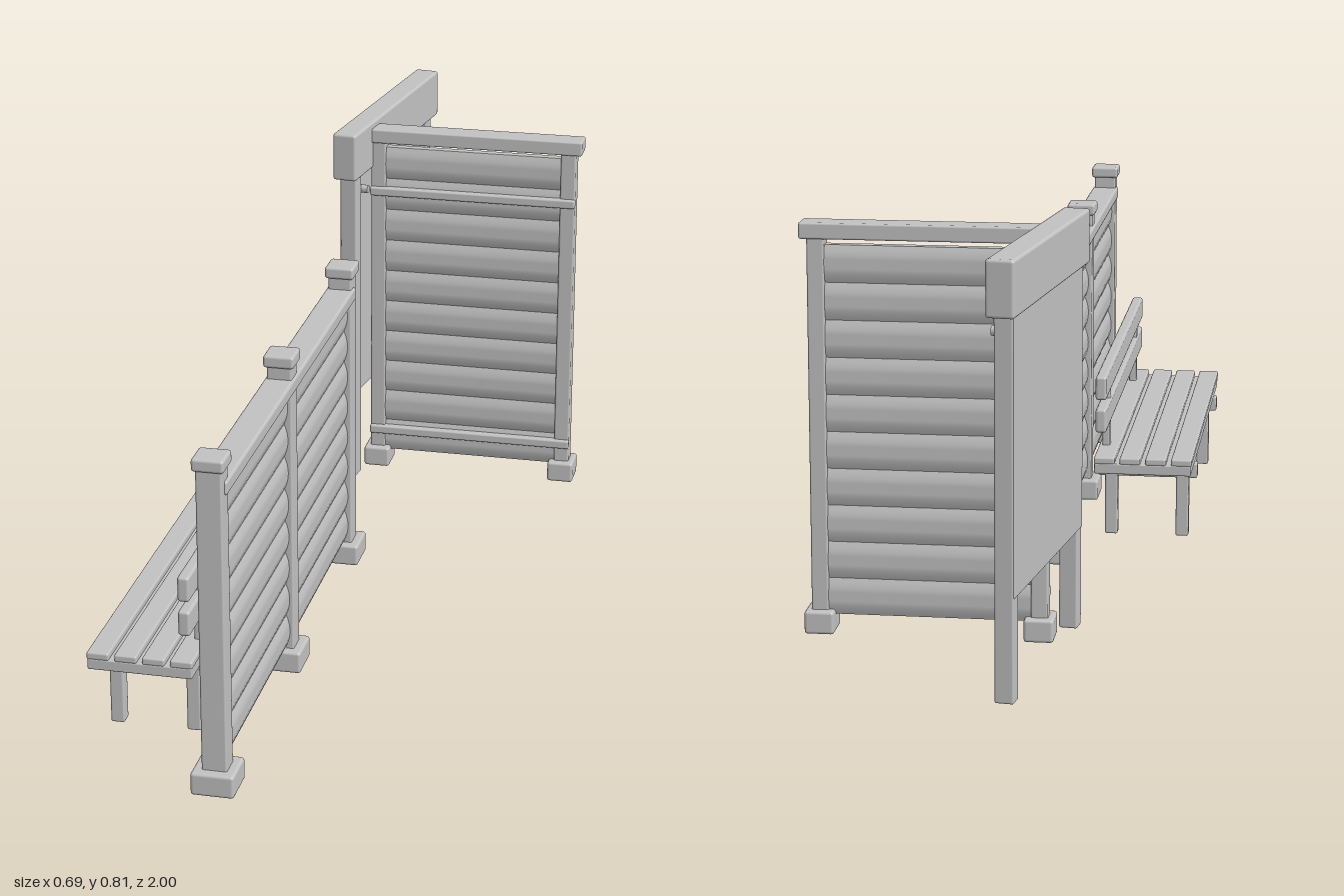
import * as THREE from 'three';
import { RoundedBoxGeometry } from 'three/addons/geometries/RoundedBoxGeometry.js';
import { toCreasedNormals } from 'three/addons/utils/BufferGeometryUtils.js';

const wood = new THREE.MeshStandardMaterial({ color: 0xc2c2c2 });
wood.name = 'greyWood';

// Softly rounded block given by its min/max extents
function block(parent, name, [x0, x1], [y0, y1], [z0, z1], round = 0.004) {
  const w = x1 - x0, h = y1 - y0, d = z1 - z0;
  const r = Math.min(round, Math.min(w, h, d) * 0.4);
  const mesh = new THREE.Mesh(new RoundedBoxGeometry(w, h, d, 2, r), wood);
  mesh.position.set((x0 + x1) / 2, (y0 + y1) / 2, (z0 + z1) / 2);
  mesh.name = name;
  parent.add(mesh);
  return mesh;
}

// Extents around a centre
const about = (c, size) => [c - size / 2, c + size / 2];

// Stack of boards with bulging faces, running along local z
function boards(parent, count, y0, y1, length) {
  const h = (y1 - y0) / count, edge = 0.009, bulge = 0.024;
  const shape = new THREE.Shape();
  shape.moveTo(-edge, -h / 2);
  shape.lineTo(edge, -h / 2);
  shape.quadraticCurveTo(bulge, 0, edge, h / 2);
  shape.lineTo(-edge, h / 2);
  shape.quadraticCurveTo(-bulge, 0, -edge, -h / 2);
  const geo = toCreasedNormals(
    new THREE.ExtrudeGeometry(shape, { depth: length, bevelEnabled: false, curveSegments: 8 })
      .translate(0, 0, -length / 2), 0.6);
  for (let i = 0; i < count; i++) {
    const board = new THREE.Mesh(geo, wood);
    board.position.y = y0 + h * (i + 0.5);
    board.name = 'wallBoard';
    parent.add(board);
  }
}

// Long low fence with three capped posts
function longFence() {
  const g = new THREE.Group();
  g.name = 'longFence';
  const x = -0.069;
  for (const z of [0.96, 0.452, -0.057]) {
    block(g, 'post', about(x, 0.048), [0.03, 0.645], about(z, 0.046));
    block(g, 'postFoot', about(x, 0.082), [0, 0.045], about(z, 0.084), 0.006);
    block(g, 'postCap', about(x, 0.06), [0.635, 0.66], about(z, 0.06), 0.006);
  }
  block(g, 'topRail', about(x, 0.058), [0.583, 0.611], [-0.06, 0.963], 0.006);
  const wall = new THREE.Group();
  wall.name = 'fenceWall';
  wall.position.set(x, 0, 0.452);
  boards(wall, 8, 0.05, 0.588, 1.0);
  g.add(wall);
  return g;
}

// Tall fence running crosswise
function tallFence() {
  const g = new THREE.Group();
  g.name = 'tallFence';
  const z = -0.582;
  for (const x of [-0.104, 0.316]) {
    block(g, 'post', about(x, 0.033), [0.03, 0.77], about(z, 0.038));
    block(g, 'postFoot', about(x, 0.057), [0, 0.045], about(z, 0.07), 0.006);
  }
  block(g, 'topRail', [-0.125, 0.346], [0.762, 0.793], about(z, 0.052));
  for (const y of [0.652, 0.087])
    block(g, 'crossBar', [-0.121, 0.333], about(y, 0.019), [-0.572, -0.553]);
  const wall = new THREE.Group();
  wall.name = 'fenceWall';
  wall.position.set(0.106, 0, z);
  wall.rotation.y = Math.PI / 2;
  boards(wall, 10, 0.035, 0.75, 0.4);
  g.add(wall);
  return g;
}

// Angled panel hung between two legs under a heavy beam
function screen() {
  const g = new THREE.Group();
  g.name = 'angledScreen';
  g.position.set(-0.12, 0, -0.728);
  g.rotation.y = -0.137;
  block(g, 'headBeam', about(0, 0.053), [0.703, 0.807], about(0, 0.542), 0.006);
  block(g, 'panel', [-0.02, 0.013], [0.195, 0.71], about(0, 0.488), 0.003);
  for (const s of [-1, 1]) {
    block(g, 'leg', about(0, 0.036), [0, 0.71], about(s * 0.229, 0.034));
    const bolt = new THREE.Mesh(new THREE.CylinderGeometry(0.009, 0.009, 0.02, 12), wood);
    bolt.rotation.z = Math.PI / 2;
    bolt.position.set(0.022, 0.668, s * 0.206);
    bolt.name = 'bolt';
    g.add(bolt);
  }
  return g;
}

// Slatted bench with a two-board backrest
function bench() {
  const g = new THREE.Group();
  g.name = 'bench';
  const span = [0.03, 0.865];
  for (let i = 0; i < 4; i++)
    block(g, 'seatSlat', about(-0.322 + i * 0.0535, 0.043), [0.182, 0.197], span);
  block(g, 'seatBase', [-0.342, -0.141], [0.162, 0.184], span, 0.003);
  for (const z of [0.149, 0.755]) {
    block(g, 'bearer', [-0.348, -0.139], [0.131, 0.163], about(z, 0.028));
    for (const x of [-0.317, -0.167])
      block(g, 'leg', about(x, 0.027), [0.004, 0.16], about(z, 0.028));
    block(g, 'backUpright', [-0.163, -0.147], [0.18, 0.36], about(z, 0.028));
  }
  for (const y of [0.274, 0.343])
    block(g, 'backBoard', [-0.166, -0.143], about(y, 0.05), span, 0.006);
  return g;
}

export function createModel() {
  const model = new THREE.Group();
  model.name = 'fencedSeatingArea';
  model.add(longFence(), tallFence(), screen(), bench());
  return model;
}
